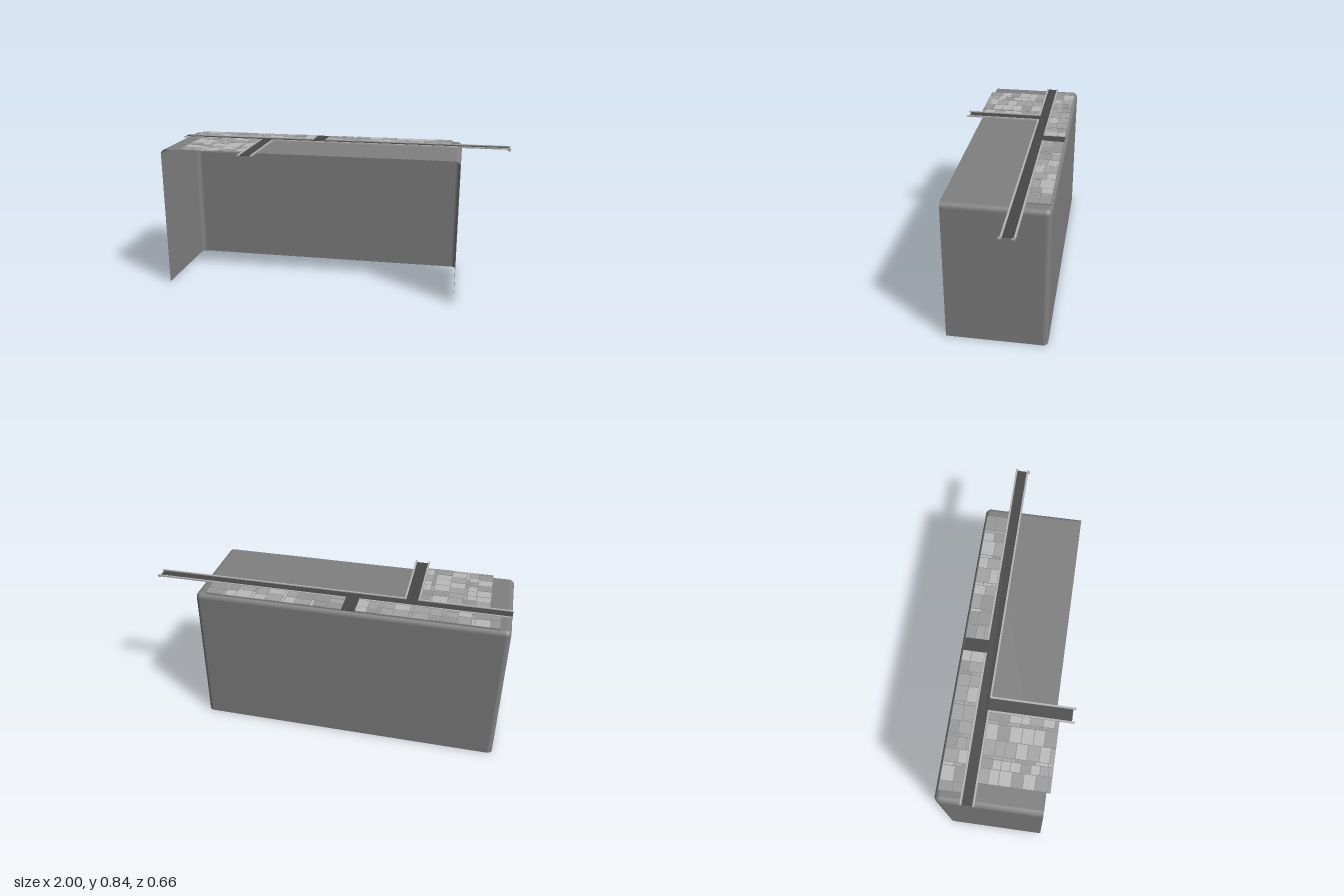
import * as THREE from 'three';

const material = (color) => new THREE.MeshStandardMaterial({ color });
const ROOF = 0.828;

// Box given by its limits on each axis
function slab(name, [x0, x1], [y0, y1], [z0, z1], mat) {
  const mesh = new THREE.Mesh(new THREE.BoxGeometry(x1 - x0, y1 - y0, z1 - z0), mat);
  mesh.position.set((x0 + x1) / 2, (y0 + y1) / 2, (z0 + z1) / 2);
  mesh.name = name;
  return mesh;
}

// Open shell: two sides, back and roof, with rounded outer edges
function createShell() {
  const left = -1, right = 0.72, front = 0.23, back = -0.33, r = 0.03, steps = 8;
  const path = [[left + r, front, -1, 0]];
  for (const [cx, start] of [[left + r, Math.PI], [right - r, Math.PI * 1.5]]) {
    for (let i = 0; i <= steps; i++) {
      const a = start + (i / steps) * Math.PI / 2;
      path.push([cx, back + r, Math.cos(a), Math.sin(a)]);
    }
  }
  path.push([right - r, front, 1, 0]);

  const rows = [[0, 0]];
  for (let i = 0; i <= steps; i++) rows.push([ROOF - r, (i / steps) * Math.PI / 2]);

  const n = path.length, positions = [], normals = [], index = [];
  for (const [y, a] of rows) {
    for (const [cx, cz, nx, nz] of path) {
      const c = Math.cos(a), s = Math.sin(a);
      positions.push(cx + nx * r * c, y + r * s, cz + nz * r * c);
      normals.push(nx * c, s, nz * c);
    }
  }
  for (let j = 0; j < rows.length - 1; j++) {
    for (let i = 0; i < n - 1; i++) {
      const a = j * n + i, b = a + 1, c = a + n, d = c + 1;
      index.push(a, c, b, b, c, d);
    }
  }
  // Flat roof
  const t = (rows.length - 1) * n;
  index.push(t, t + n - 1, t + n - 2, t, t + n - 2, t + 1);

  const geometry = new THREE.BufferGeometry();
  geometry.setAttribute('position', new THREE.Float32BufferAttribute(positions, 3));
  geometry.setAttribute('normal', new THREE.Float32BufferAttribute(normals, 3));
  geometry.setIndex(index);
  const mat = material(0x808080);
  mat.side = THREE.DoubleSide;
  const shell = new THREE.Mesh(geometry, mat);
  shell.name = 'shell';
  return shell;
}

// Road beds with raised kerbs
function createRoad() {
  const road = new THREE.Group();
  road.name = 'road';
  const bed = material(0x484848), kerb = material(0xb4b4b4);
  const bedY = [0.829, 0.832], kerbY = [0.829, 0.837];
  road.add(
    slab('mainRoad', [-1, 0.99], bedY, [-0.186, -0.128], bed),
    slab('frontBranch', [-0.495, -0.43], bedY, [-0.128, 0.315], bed),
    slab('backBranch', [-0.18, -0.107], [0.829, 0.834], [-0.315, -0.186], bed),
  );
  // Kerbs stop where the branches join
  for (const x of [[-1, -0.18], [-0.107, 1]]) road.add(slab('backKerb', x, kerbY, [-0.195, -0.185], kerb));
  for (const x of [[-1, -0.495], [-0.43, 1]]) road.add(slab('frontKerb', x, kerbY, [-0.13, -0.12], kerb));
  for (const x of [[-0.505, -0.495], [-0.43, -0.42]]) road.add(slab('branchKerb', x, kerbY, [-0.12, 0.33], kerb));
  // Small feet under the overhanging end
  for (const z of [[-0.191, -0.175], [-0.127, -0.111]]) road.add(slab('kerbFoot', [0.985, 1], [0.822, 0.829], z, kerb));
  return road;
}

// Irregular paving stones laid in columns over a thin base
function createPaving() {
  const paving = new THREE.Group();
  paving.name = 'paving';
  const base = material(0x8c8c8c);
  const stones = [0x989898, 0xa4a4a4, 0xbababa].map(material);
  let seed = 7;
  const random = () => (seed = (seed * 16807) % 2147483647) / 2147483647;

  const panel = ([x0, x1], [z0, z1], rowSize) => {
    paving.add(slab('pavingBase', [x0, x1], [0.826, 0.8335], [z0, z1], base));
    const gap = 0.002;
    for (let x = x0, k = 0; x < x1 - 0.01; k++) {
      let end = Math.min(x1, x + (k % 3 === 2 ? 0.018 : 0.05 + 0.04 * random()));
      if (x1 - end < 0.015) end = x1;
      for (let z = z0; z < z1 - 0.005;) {
        let stop = Math.min(z1, z + rowSize * (0.75 + 0.5 * random()));
        if (z1 - stop < 0.015) stop = z1;
        const top = 0.8345 + 0.002 * random();
        const mat = stones[Math.floor(random() * stones.length)];
        paving.add(slab('pavingStone', [x + gap, end - gap], [0.83, top], [z + gap, stop - gap], mat));
        z = stop;
      }
      x = end;
    }
  };
  panel([-0.94, -0.18], [-0.315, -0.195], 0.06);
  panel([-0.107, 0.66], [-0.315, -0.195], 0.06);
  panel([-0.88, -0.505], [-0.12, 0.25], 0.055);
  return paving;
}

export function createModel() {
  const model = new THREE.Group();
  model.name = 'pavedRoadBlock';
  model.add(createShell(), createRoad(), createPaving());
  return model;
}
